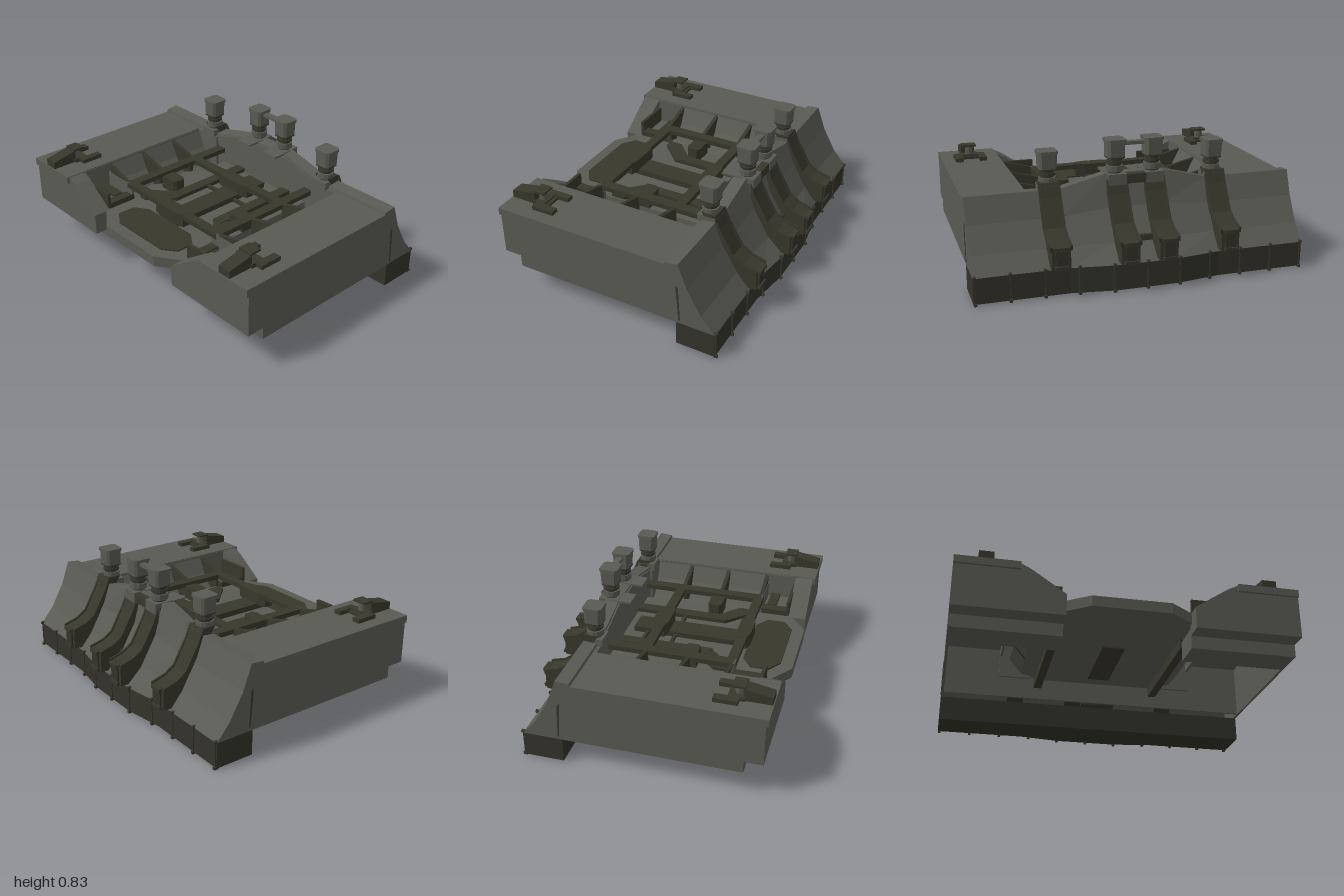
import * as THREE from 'three';

export function createModel() {
  const root = new THREE.Group();
  const mat = (name, color) => new THREE.MeshStandardMaterial({ name, color, flatShading: true, side: THREE.DoubleSide });
  const hull = mat('hull grey', 0x5a5a54);
  const dark = mat('dark olive', 0x38372c);
  const deep = mat('beam olive', 0x33322a);

  const add = (name, geo, m) => {
    const mesh = new THREE.Mesh(geo, m);
    mesh.name = name;
    root.add(mesh);
    return mesh;
  };
  // Box given by its limits on each axis
  const box = (name, m, x0, x1, y0, y1, z0, z1) => {
    const g = new THREE.BoxGeometry(x1 - x0, y1 - y0, z1 - z0);
    return add(name, g.translate((x0 + x1) / 2, (y0 + y1) / 2, (z0 + z1) / 2), m);
  };
  const extrude = (pts, depth) => new THREE.ExtrudeGeometry(
    new THREE.Shape(pts.map((p) => new THREE.Vector2(p[0], p[1]))), { depth, bevelEnabled: false });
  // Prisms: side outline (x,y), plan outline (x,z), end outline (z,y)
  const prismZ = (name, m, pts, z0, z1) => add(name, extrude(pts, z1 - z0).translate(0, 0, z0), m);
  const prismY = (name, m, pts, y0, y1) =>
    add(name, extrude(pts.map(([x, z]) => [x, -z]), y1 - y0).rotateX(-Math.PI / 2).translate(0, y0, 0), m);
  const prismX = (name, m, pts, x0, x1) =>
    add(name, extrude(pts.map(([z, y]) => [-z, y]), x1 - x0).rotateY(Math.PI / 2).translate(x0, 0, 0), m);
  const mirrorPlan = (pts) => [...pts, ...pts.map(([x, z]) => [x, -z]).reverse()];
  // Open sheet through a row of equal cross-sections
  const sheet = (name, m, sections) => {
    const pos = [];
    for (let i = 0; i + 1 < sections.length; i++)
      for (let j = 0; j + 1 < sections[i].length; j++) {
        const a = sections[i][j], b = sections[i + 1][j], c = sections[i + 1][j + 1], d = sections[i][j + 1];
        pos.push(...a, ...b, ...c, ...a, ...c, ...d);
      }
    const g = new THREE.BufferGeometry();
    g.setAttribute('position', new THREE.Float32BufferAttribute(pos, 3));
    g.computeVertexNormals();
    return add(name, g, m);
  };

  // Curved front plate with raised lip, higher and bulged towards the middle
  const stations = [[-1, 0.56, 0], [-0.45, 0.56, 0], [-0.17, 0.63, 0.04], [0.17, 0.63, 0.04], [0.45, 0.56, 0], [1, 0.56, 0]];
  sheet('frontPlate', hull, stations.map(([z, h, b]) => [
    [0.35, 0.53, z], [0.355, h - 0.008, z], [0.435, h, z], [0.49, 0.41 + (h - 0.56) * 0.4, z],
    [0.575 + b / 2, 0.26, z], [0.66 + b, 0.16, z],
  ]));
  prismX('frontBulkhead', hull, [[-1, 0.165], [-1, 0.53], [-0.45, 0.54], [-0.17, 0.61], [0.17, 0.61], [0.45, 0.54], [1, 0.53], [1, 0.165]], 0.345, 0.358);

  // Lower front beam with seams and bolts
  const front = (z) => 0.66 + 0.04 * THREE.MathUtils.clamp((0.45 - Math.abs(z)) / 0.26, 0, 1);
  prismY('lowerBeam', deep, mirrorPlan([[0.42, 1], [0.66, 1], [0.66, 0.45], [0.7, 0.19]]), 0.008, 0.16);
  for (let i = 0; i <= 10; i++) {
    const z = -0.99 + i * 0.198, x = front(z);
    box('beamSeam', dark, x - 0.005, x + 0.006, 0.01, 0.16, z - 0.004, z + 0.004);
    for (const y of [0, 0.156]) box('beamBolt', dark, x - 0.012, x + 0.013, y, y + 0.016, z - 0.008, z + 0.008);
  }

  // Floor slab with pointed rear and its dark markings
  prismY('floorSlab', hull, mirrorPlan([[0.35, 0.38], [-0.65, 0.38], [-0.755, 0.23]]), 0.3, 0.365);
  prismY('rearFloorPanel', dark, mirrorPlan([[-0.45, 0.2], [-0.51, 0.285], [-0.62, 0.285], [-0.68, 0.2]]), 0.365, 0.374);
  box('centreSpine', dark, -0.45, 0.29, 0.365, 0.4, -0.07, 0.07);
  box('bellyPlate', dark, -0.25, 0.25, 0.293, 0.3, -0.07, 0.07);

  // Transverse frames of the open bay, with widened hubs
  for (const x of [-0.42, 0.105]) {
    prismY('frameHub', dark, mirrorPlan([[x + 0.045, 0.07], [x + 0.03, 0.13], [x - 0.03, 0.13], [x - 0.045, 0.07]]), 0.39, 0.472);
    box('mainCrossbeam', dark, x - 0.03, x + 0.03, 0.44, 0.47, -0.42, 0.42);
  }

  for (const s of [-1, 1]) {
    const zr = (a, b) => (s > 0 ? [a, b] : [-b, -a]);
    const sbox = (name, m, x0, x1, y0, y1, a, b) => box(name, m, x0, x1, y0, y1, ...zr(a, b));

    // Side hull: outer wall, deck, rear block with sloping shoulder
    prismZ('sideWall', hull, [[-0.63, 0.16], [0.66, 0.16], [0.575, 0.26], [0.49, 0.41], [0.435, 0.558], [0.355, 0.55], [0.35, 0.535], [-0.63, 0.535]], ...zr(0.985, 1));
    prismZ('wallSlit', dark, [[0.42, 0.41], [0.435, 0.4], [0.445, 0.18], [0.437, 0.18]], s * 1.001 - 0.002, s * 1.001 + 0.002);
    sbox('sideDeck', hull, -0.755, 0.35, 0.49, 0.535, 0.63, 1);
    sbox('bayCorner', hull, 0.33, 0.35, 0.3, 0.535, 0.44, 0.64);
    prismX('rearBlock', hull, [[s, 0.235], [s, 0.53], [s * 0.63, 0.53], [s * 0.57, 0.5], [s * 0.37, 0.365], [s * 0.37, 0.235]], -0.74, -0.625);
    sbox('lowerRearBox', hull, -0.63, -0.44, 0.157, 0.28, 0.37, 0.99);
    sbox('undersideRail', dark, -0.44, 0.35, 0.24, 0.3, 0.36, 0.41);

    // Sloping inner side of the bay
    const wall = [[0.63, 0.53], [0.575, 0.42], [0.5, 0.33], [0.37, 0.3]];
    sheet('bayWall', hull, [-0.44, 0.35].map((x) => wall.map(([z, y]) => [x, y, s * z])));
    sbox('bayEdge', hull, -0.64, 0.35, 0.44, 0.53, 0.625, 0.64);

    // Rear pocket with its frame
    sbox('pocketSide', hull, -0.64, -0.43, 0.27, 0.5, 0.625, 0.64);
    sbox('pocketFrame', dark, -0.63, -0.43, 0.28, 0.4, 0.38, 0.44);
    sbox('pocketFrame', dark, -0.63, -0.61, 0.28, 0.47, 0.38, 0.63);
    sbox('pocketBox', hull, -0.6, -0.45, 0.28, 0.38, 0.45, 0.61);
    sbox('pocketBar', dark, -0.53, -0.47, 0.38, 0.4, 0.45, 0.61);
    sbox('pocketWall', hull, -0.445, -0.43, 0.28, 0.47, 0.38, 0.63);

    // Longitudinal rails and floor frames
    sbox('longRail', dark, -0.44, 0.35, 0.44, 0.47, 0.37, 0.435);
    sbox('innerRail', dark, -0.25, 0.35, 0.365, 0.39, 0.175, 0.245);
    prismY('bayBlock', dark, [[-0.2, 0.38], [-0.2, 0.27], [-0.185, 0.25], [-0.125, 0.25], [-0.11, 0.27], [-0.11, 0.38]].map(([x, z]) => [x, s * z]), 0.365, 0.45);
    prismY('cornerGusset', dark, [[-0.39, s * 0.37], [-0.3, s * 0.37], [-0.19, s * 0.25], [-0.19, s * 0.18], [-0.25, s * 0.18], [-0.39, s * 0.32]], 0.365, 0.385);
    for (const x of [0.02, 0.2]) sbox('floorRib', dark, x - 0.01, x + 0.01, 0.365, 0.385, 0.07, 0.18);
    // Triangular webs between rail and bay wall
    for (const x of [-0.43, -0.165, 0.095])
      prismX('bayWeb', dark, [[s * 0.625, 0.52], [s * 0.575, 0.42], [s * 0.5, 0.33], [s * 0.43, 0.36], [s * 0.43, 0.47]], x - 0.012, x + 0.012);

    // Deck fitting: tapered housing, clamp and post
    prismZ('housing', dark, [[-0.75, 0.53], [-0.75, 0.58], [-0.59, 0.61], [-0.59, 0.53]], ...zr(0.78, 0.865));
    sbox('housingHead', dark, -0.6, -0.52, 0.535, 0.56, 0.765, 0.875);
    add('post', new THREE.CylinderGeometry(0.025, 0.025, 0.06, 8).translate(-0.56, 0.585, s * 0.82), hull);
    sbox('postCap', dark, -0.6, -0.525, 0.61, 0.622, 0.775, 0.865);
    sbox('clampBar', dark, -0.54, -0.5, 0.535, 0.55, 0.72, 0.92);
    for (const [a, b] of [[0.72, 0.765], [0.87, 0.92]]) sbox('clampFoot', dark, -0.57, -0.43, 0.535, 0.56, a, b);

    // Exhaust ducts down the front plate, each with a capped stack
    for (const [z, dx, cx, base, top] of [[0.115, 0, 0.418, 0.63, 0.83], [0.51, -0.035, 0.378, 0.58, 0.78]]) {
      const zc = s * z;
      prismZ('duct', dark, [[0.38, 0.6], [0.47, 0.6], [0.5, 0.52], [0.585, 0.365], [0.65, 0.325], [0.735, 0.3],
        [0.735, 0.175], [0.65, 0.17], [0.56, 0.24], [0.47, 0.4], [0.42, 0.54]].map(([x, y]) => [x + dx, y]), zc - 0.055, zc + 0.055);
      for (const e of [-1, 1]) {
        const g = [[0.47, 0.6], [0.505, 0.52], [0.59, 0.375], [0.65, 0.335], [0.74, 0.31], [0.735, 0.28], [0.64, 0.3], [0.56, 0.36], [0.47, 0.52]];
        prismZ('ductFlange', dark, g.map(([x, y]) => [x + dx, y]), zc + e * 0.058 - 0.006, zc + e * 0.058 + 0.006);
      }
      box('ductFoot', deep, 0.7 + dx, 0.745 + dx, 0.17, 0.28, zc - 0.033, zc + 0.033);
      for (const y of [0.185, 0.295]) box('ductLug', dark, 0.72 + dx, 0.755 + dx, y - 0.01, y + 0.01, zc - 0.04, zc + 0.04);
      box('stackBase', hull, cx - 0.06, cx + 0.065, 0.535, base, zc - 0.055, zc + 0.055);
      // Stepped neck with two collars
      const neck = (y0, y1, r, m) => add('stackNeck', new THREE.CylinderGeometry(r, r, y1 - y0, 12).translate(cx, (y0 + y1) / 2, zc), m);
      neck(base, top - 0.1, 0.042, dark);
      neck(base + 0.01, base + 0.045, 0.052, hull);
      neck(base + 0.055, base + 0.07, 0.05, dark);
      // Cap with chamfered corners and an overhanging lid
      const cap = mirrorPlan([[0.055, 0.04], [0.04, 0.055], [-0.04, 0.055], [-0.055, 0.04]]);
      const ring = (k) => cap.map(([x, q]) => [cx + x * k, zc + q * k]);
      const at = (k, y) => [...ring(k), ring(k)[0]].map(([x, q]) => [x, y, q]);
      sheet('stackCapSides', hull, [at(0.92, top - 0.105), at(0.97, top - 0.015)]);
      prismY('stackCapLid', hull, ring(1.06), top - 0.018, top);
      prismY('stackCapBottom', dark, ring(0.93), top - 0.112, top - 0.104);
    }
    // Walkway pads behind the middle stacks
    sbox('middlePad', hull, 0.275, 0.43, 0.616, 0.628, 0.06, 0.175);
  }

  // Links between the two middle stacks and the recess between their ducts
  box('stackLink', hull, 0.4, 0.44, 0.79, 0.81, -0.07, 0.07);
  box('middleHeader', dark, 0.43, 0.48, 0.57, 0.625, -0.06, 0.06);
  box('middleSill', dark, 0.52, 0.6, 0.22, 0.29, -0.06, 0.06);
  return root;
}
